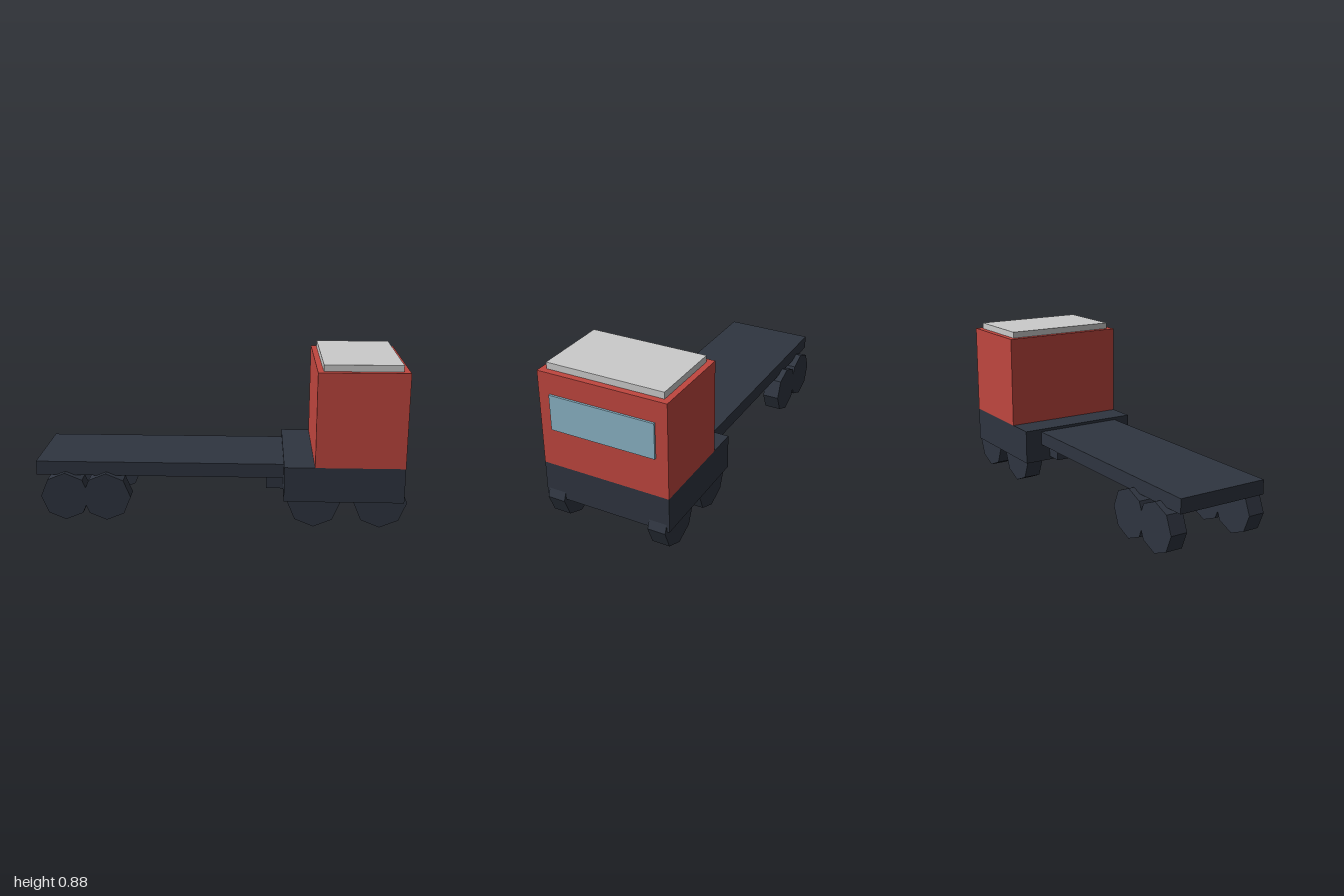
import * as THREE from 'three';

export function createModel() {
  const model = new THREE.Group();
  model.name = 'flatbedTruck';

  const paint = (color) => new THREE.MeshStandardMaterial({ color, flatShading: true });
  const dark = paint(0x2f3540);
  const red = paint(0xc0463f);
  const glass = paint(0x8ab4c6);
  const grey = paint(0xcccccc);

  // Box spanning x0..x1 and y0..y1, centred across the truck
  function box(name, material, x0, x1, y0, y1, halfWidth) {
    const mesh = new THREE.Mesh(new THREE.BoxGeometry(x1 - x0, y1 - y0, halfWidth * 2), material);
    mesh.position.set((x0 + x1) / 2, (y0 + y1) / 2, 0);
    mesh.name = name;
    model.add(mesh);
  }

  // Load bed and the coupling beneath it
  box('flatbed', dark, -1, 0.36, 0.245, 0.322, 0.254);
  box('coupling', dark, 0.25, 0.36, 0.165, 0.246, 0.2);

  // Driver's section
  box('chassis', dark, 0.343, 0.98, 0.146, 0.337, 0.352);
  box('cab', red, 0.505, 0.98, 0.337, 0.85, 0.352);
  box('roofPanel', grey, 0.536, 0.946, 0.85, 0.885, 0.32);
  box('windscreen', glass, 0.96, 0.991, 0.546, 0.737, 0.287);

  // Eight-sided wheels: x, radius, inner and outer distance from the centre line
  const axles = [
    ['rearWheel', -0.841, 0.133, 0.193, 0.287],
    ['rearWheel', -0.617, 0.133, 0.193, 0.287],
    ['frontWheel', 0.503, 0.142, 0.241, 0.337],
    ['frontWheel', 0.856, 0.142, 0.241, 0.337],
  ];
  for (const [name, x, radius, inner, outer] of axles) {
    for (const side of [-1, 1]) {
      const tyre = new THREE.CylinderGeometry(radius, radius, outer - inner, 8).rotateX(Math.PI / 2);
      const wheel = new THREE.Mesh(tyre, dark);
      wheel.position.set(x, radius, side * (inner + outer) / 2);
      wheel.name = name;
      model.add(wheel);
    }
  }

  return model;
}
